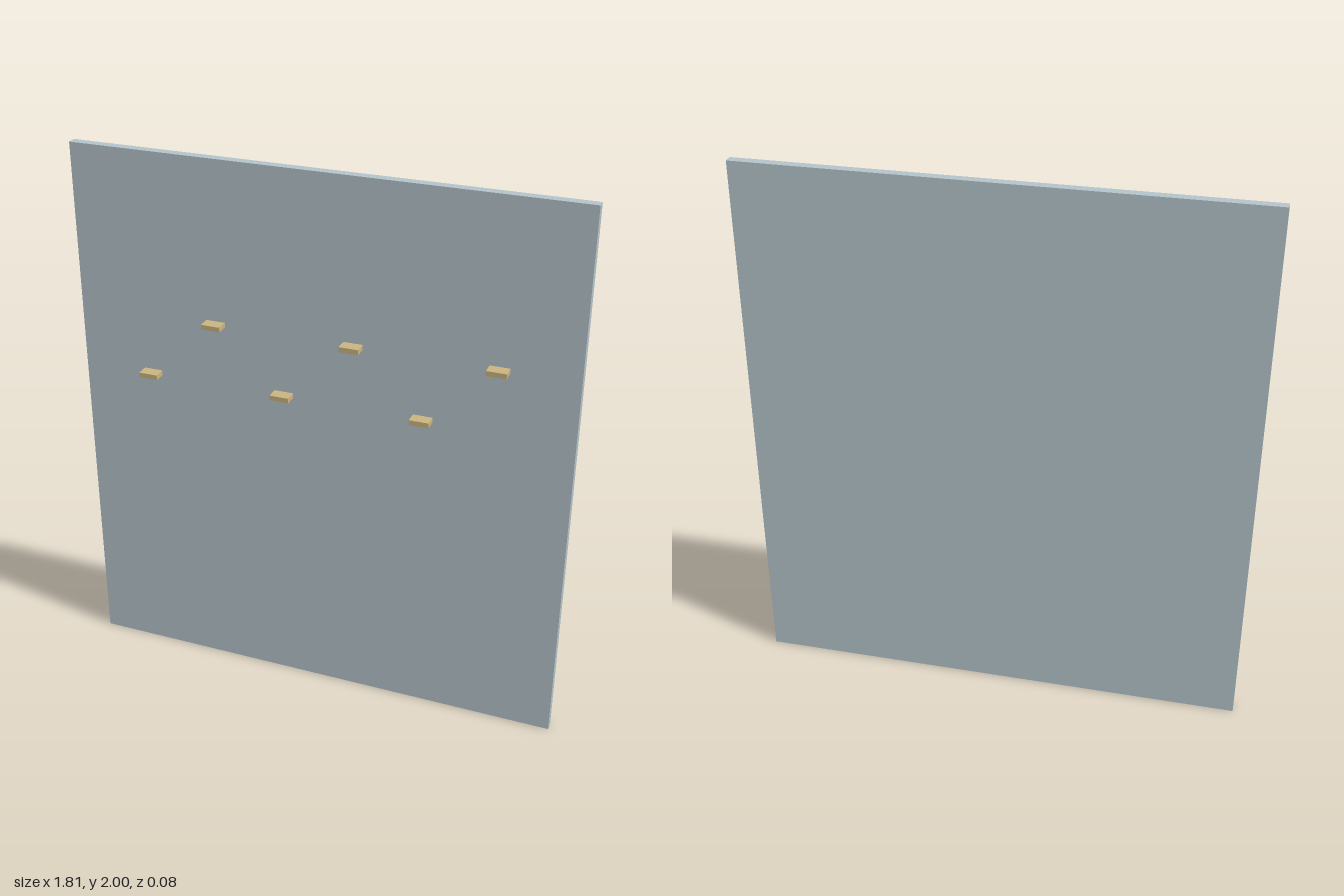
import * as THREE from 'three';

export function createModel() {
  const group = new THREE.Group();
  const panelMaterial = new THREE.MeshStandardMaterial({ color: 0xb4c4cb });
  const pegMaterial = new THREE.MeshStandardMaterial({ color: 0xcbb480 });

  const addBox = (name, size, position, material) => {
    const mesh = new THREE.Mesh(new THREE.BoxGeometry(...size), material);
    mesh.name = name;
    mesh.position.set(...position);
    group.add(mesh);
  };

  // Thin upright panel
  const depth = 0.08, thickness = 0.034;
  const panelFront = -depth / 2 + thickness;
  addBox('panel', [1.813, 2, thickness], [0, 1, panelFront - thickness / 2], panelMaterial);

  // Six small pegs, alternating between a lower and an upper row
  const pegDepth = depth - thickness;
  for (let i = 0; i < 6; i++) {
    const x = (i - 2.5) * 0.254;
    const y = i % 2 === 0 ? 1.184 : 1.411;
    addBox(`peg${i + 1}`, [0.07, 0.018, pegDepth], [x, y, panelFront + pegDepth / 2], pegMaterial);
  }
  return group;
}
